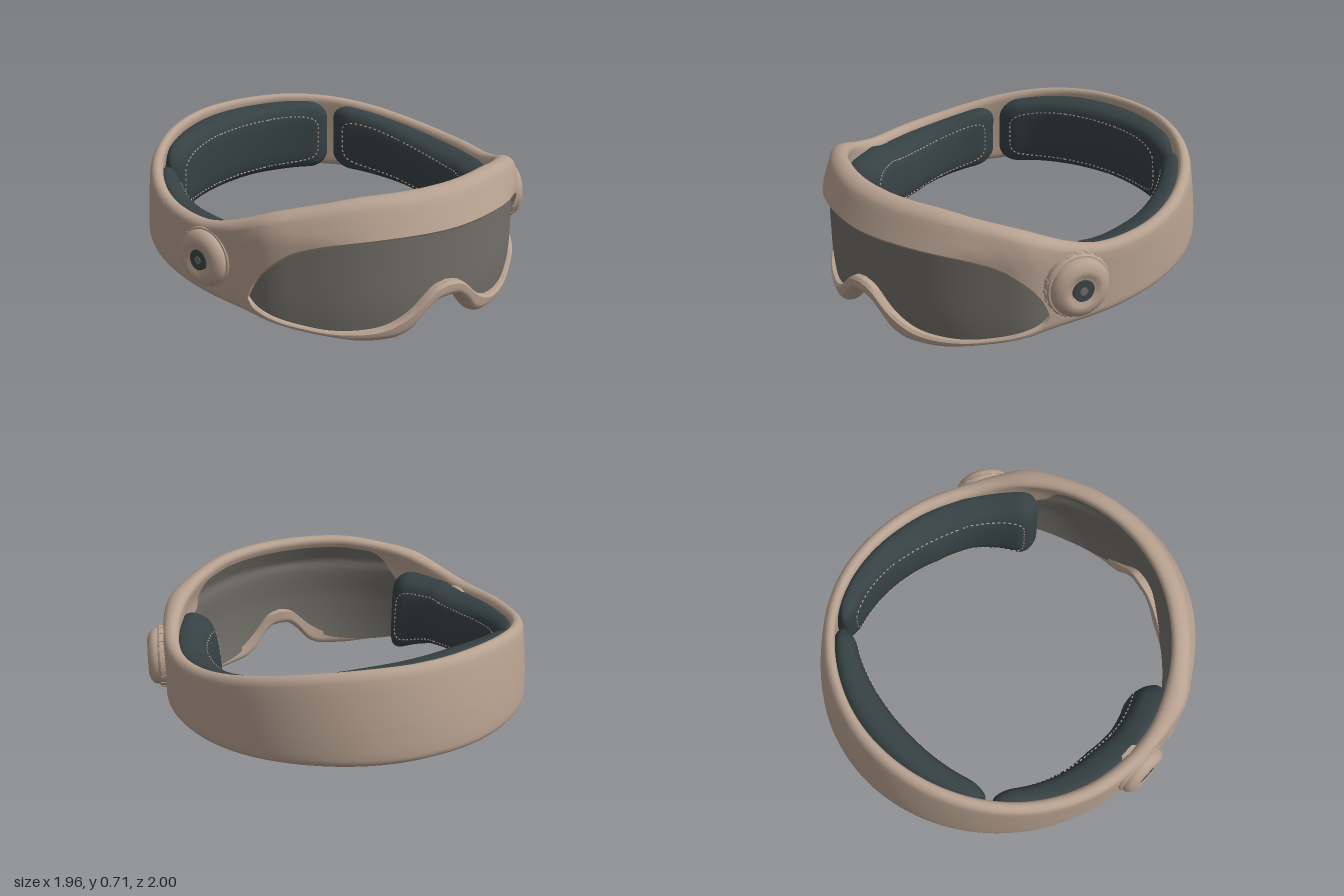
import * as THREE from 'three';
import { toCreasedNormals, mergeGeometries } from 'three/addons/utils/BufferGeometryUtils.js';

const RAD = Math.PI / 180;
const { smoothstep, lerp } = THREE.MathUtils;
const material = (name, color, side = THREE.FrontSide) => {
  const m = new THREE.MeshStandardMaterial({ color, side });
  m.name = name;
  return m;
};

// Smooth curve through [angle, value] pairs
function curve(pts) {
  const slope = (i) => {
    const a = pts[Math.max(0, i - 1)], b = pts[Math.min(pts.length - 1, i + 1)];
    return (b[1] - a[1]) / (b[0] - a[0]);
  };
  return (x) => {
    let i = 0;
    while (i < pts.length - 2 && x > pts[i + 1][0]) i++;
    const [x0, y0] = pts[i], [x1, y1] = pts[i + 1], w = x1 - x0;
    const t = Math.min(1, Math.max(0, (x - x0) / w)), q = 1 - t;
    return y0 * (1 + 2 * t) * q * q + slope(i) * w * t * q * q +
      y1 * t * t * (3 - 2 * t) - slope(i + 1) * w * t * t * q;
  };
}

// Heights around the ring: 0 degrees is the front, 180 the back
const fold = (deg) => { const d = ((deg % 360) + 360) % 360; return d > 180 ? 360 - d : d; };
const topCurve = curve([[0, .705], [25, .7], [36, .68], [53, .63], [66, .56], [76, .525], [90, .53],
  [102, .55], [114, .585], [127, .63], [143, .675], [160, .7], [180, .705]]);
const bottomCurve = curve([[0, .17], [4, .16], [8, .11], [12, .04], [16, .008], [20, 0], [28, .005],
  [36, .03], [45, .06], [55, .1], [65, .13], [90, .172], [115, .2], [145, .235], [180, .25]]);
const openTop = curve([[0, .52], [18.8, .52], [32.5, .505], [40, .485], [47, .45], [52, .395], [56, .33],
  [58.5, .265], [60, .21]]);
const openBottom = curve([[0, .26], [5, .24], [12.4, .14], [18.8, .085], [25.5, .065], [36, .066],
  [44.3, .09], [51, .12], [56, .153], [58.5, .18], [60, .21]]);
const END = 60;
const seam = (a) => .21 + .26 * (a - END) / (180 - END);
const top = (deg) => topCurve(fold(deg));
const bottom = (deg) => bottomCurve(fold(deg));
const upperEdge = (deg) => { const a = fold(deg); return a >= END ? seam(a) : openTop(a); };
const lowerEdge = (deg) => { const a = fold(deg); return a >= END ? seam(a) : openBottom(a); };

// Point on the leaning outer wall, moved inwards by depth; the temples bulge slightly
function wall(deg, y, depth) {
  const c = Math.cos(deg * RAD);
  const front = .08 * Math.max(0, y - .53) / .17 + .025 * (Math.max(0, .25 - y) / .25) ** 2;
  const back = .08 * Math.pow(Math.max(0, y - .25) / .45, 1.6);
  const bulge = .022 * Math.exp(-(((fold(deg) - 54) / 8) ** 2)) * Math.max(0, 1 - depth / .09);
  const s = 1 - (c > 0 ? c * front : -c * back) + bulge - depth;
  return new THREE.Vector3(.935 * s * Math.sin(deg * RAD), y, s * c);
}

// Band thickness, with a deeper lip over the nose
const thickness = (deg) => .08 + .02 * Math.cos(deg * RAD);
const noseThickness = (deg) => thickness(deg) + .045 * Math.exp(-((fold(deg) / 12) ** 2));

// Surface from a grid of points; flip reverses the facing
function grid(nu, nv, at, flip = false, crease = .7) {
  const pos = [], idx = [];
  for (let i = 0; i <= nu; i++) for (let j = 0; j <= nv; j++) pos.push(...at(i, j).toArray());
  for (let i = 0; i < nu; i++) for (let j = 0; j < nv; j++) {
    const a = i * (nv + 1) + j, b = a + nv + 1;
    if (flip) idx.push(a, a + 1, b, b, a + 1, b + 1);
    else idx.push(a, b, a + 1, b, b + 1, a + 1);
  }
  const g = new THREE.BufferGeometry();
  g.setAttribute('position', new THREE.Float32BufferAttribute(pos, 3));
  g.setIndex(idx);
  return toCreasedNormals(g, crease);
}

// Half of the band, from the lens opening out to a rounded rim
function bandHalf(edge, rim, thickAt, flip) {
  const section = (deg) => {
    const e = edge(deg), h = Math.abs(rim(deg) - e), sign = flip ? -1 : 1;
    const thick = thickAt(deg), r = Math.min(.042, h * .6);
    const bevel = Math.min(.014, .2 * (upperEdge(deg) - lowerEdge(deg)), h * .2);
    const p = [[0, bevel], [bevel, 0]];
    for (let k = 1; k <= 4; k++) p.push([bevel + (h - r - bevel) * k / 4, 0]);
    for (let k = 1; k <= 10; k++) {
      const a = Math.PI * k / 10;
      p.push([h - r + r * Math.sin(a), thick / 2 * (1 - Math.cos(a))]);
    }
    for (let k = 3; k >= 0; k--) p.push([(h - r) * k / 4, thick]);
    p.push(p[0]);
    return p.map(([w, d]) => wall(deg, e + sign * w, d));
  };
  const rows = Array.from({ length: 361 }, (_, i) => section(i));
  return grid(360, rows[0].length - 1, (i, j) => rows[i][j], flip);
}

// Cushion between two angles; depthAt(u) is how far its face stands inwards,
// tipAt(u) lowers it towards a front tip
function cushion(from, to, depthAt, tipAt) {
  const round = 7.5, n = 3.4, outer = .05;
  const point = (deg, f, r) => {
    const u = (deg - from) / (to - from);
    const d = Math.min(deg - from, to - deg);
    const c = d < round ? Math.sqrt(Math.max(0, 1 - (1 - d / round) ** 2)) : 1;
    const hi = top(deg) - .012 - .1 * tipAt(u), lo = bottom(deg) + .02 - .05 * tipAt(u);
    const half = (hi - lo) / 2 - .09 * (1 - c);
    const mid = (outer + depthAt(u)) / 2, T = (depthAt(u) - outer) / 2 * c;
    const taper = r < 0 ? 1 - .22 * f : 1; // the face leans in towards its lower edge
    const slope = .05 * Math.max(0, f) * (1 - r) / 2; // the top slopes down inwards
    return wall(deg, (hi + lo) / 2 + f * half - slope, mid - r * T * taper);
  };
  const power = (v) => Math.sign(v) * Math.abs(v) ** (2 / n);
  const body = grid(64, 40, (i, j) => {
    const deg = from + (to - from) * (1 - Math.cos(Math.PI * i / 64)) / 2;
    const a = 2 * Math.PI * j / 40;
    return point(deg, power(-Math.cos(a)), power(Math.sin(a)));
  }, false, 1.2);

  // Stitching: short dashes on a rounded rectangle on the inner face
  const path = [], m = (from + to) / 2, w = (to - from) / 2 - 4;
  for (let i = 0; i < 160; i++) {
    const a = 2 * Math.PI * i / 160, q = (v) => Math.sign(v) * Math.abs(v) ** .3;
    const f = .76 * q(Math.sin(a));
    path.push(point(m + w * q(Math.cos(a)), f, -((1 - Math.abs(f) ** n) ** (1 / n)) - .02));
  }
  const pts = new THREE.CatmullRomCurve3(path, true).getSpacedPoints(180);
  const dashes = [];
  for (let i = 0; i < 180; i += 2)
    dashes.push(new THREE.TubeGeometry(new THREE.LineCurve3(pts[i], pts[i + 1]), 1, .0038, 5));
  return [body, mergeGeometries(dashes)];
}

export function createModel() {
  const shell = material('warm taupe shell', 0xb7a190);
  const glass = material('smoked lens', 0x726f68, THREE.DoubleSide);
  const padding = material('dark slate padding', 0x364143);
  const button = material('charcoal button', 0x3c4546);
  const group = new THREE.Group();
  const add = (name, geometry, mat, parent = group) => {
    const mesh = new THREE.Mesh(geometry, mat);
    mesh.name = name;
    parent.add(mesh);
    return mesh;
  };

  // Headband and visor frame
  add('upperFrame', bandHalf(upperEdge, top, thickness, false), shell);
  add('lowerFrame', bandHalf(lowerEdge, bottom, noseThickness, true), shell);

  // Lens sheet, nearly flush at the sides
  add('lens', grid(2 * END, 12, (i, j) => {
    const deg = i - END, lo = lowerEdge(deg) - .008, hi = upperEdge(deg) + .008;
    return wall(deg, lo + (hi - lo) * j / 12, .016 + .028 * Math.cos(deg * RAD) ** 4);
  }), glass);

  // Lining behind the lens, with a crease below the brow
  add('lensLining', grid(116, 24, (i, j) => {
    const deg = i - 58, lo = lowerEdge(deg) - .02;
    const hi = lerp(top(deg) - .06, upperEdge(deg) + .01, smoothstep(Math.abs(deg), 38, 50));
    const y = lo + (hi - lo) * j / 24;
    const ledge = .016 * (1 - smoothstep(y, .51, .55)) * smoothstep(y, .3, .5);
    return wall(deg, y, thickness(deg) + .004 + ledge);
  }), glass);

  // Cushions: left, back and right
  const tip = (u) => Math.max(0, 1 - u * 3.5);
  const sideDepth = (u) => .165 + .095 * Math.min(1, (1 - u) * 1.9) + .03 * tip(u);
  const pads = [
    ['leftCushion', 48.5, 141.5, sideDepth, tip],
    ['backCushion', 144, 234, (u) => .18 + .085 * Math.sin(Math.PI * u), () => 0],
    ['rightCushion', 236.5, 311.5, (u) => sideDepth(1 - u), (u) => tip(1 - u)],
  ];
  for (const [name, ...args] of pads) {
    const [body, stitches] = cushion(...args);
    add(name, body, padding);
    add(name + 'Stitching', stitches, shell);
  }

  // Side knobs
  const profile = [[0, -.07], [.162, -.07], [.164, .022], [.156, .034], [.148, .035], [.148, .05], [.14, .066],
    [.122, .08], [.1, .088], [.08, .088], [.07, .082], [.058, .08], [.055, .072], [0, .072]]
    .map(([r, y]) => new THREE.Vector2(r, y));
  const knobs = [
    ['leftKnob', [.862, .36, .385], [.95, 0, .31], 1],
    ['rightKnob', [-.873, .35, .255], [-.96, 0, .27], .95],
  ];
  for (const [name, at, normal, size] of knobs) {
    const knob = new THREE.Group();
    knob.name = name;
    add('dial', toCreasedNormals(new THREE.LatheGeometry(profile, 48), .6), shell, knob);
    for (let i = 0; i < 20; i++) {
      const a = i * Math.PI / 10;
      const tooth = add('gripTooth', new THREE.BoxGeometry(.012, .03, .018), shell, knob);
      tooth.position.set(.161 * Math.cos(a), .01, .161 * Math.sin(a));
      tooth.rotation.y = -a;
    }
    add('buttonDisc', new THREE.CylinderGeometry(.054, .054, .02, 32), button, knob).position.y = .074;
    add('buttonCentre', new THREE.CylinderGeometry(.02, .02, .008, 20), glass, knob).position.y = .084;
    knob.position.set(...at);
    knob.quaternion.setFromUnitVectors(new THREE.Vector3(0, 1, 0), new THREE.Vector3(...normal).normalize());
    knob.scale.setScalar(size);
    group.add(knob);
  }
  return group;
}
